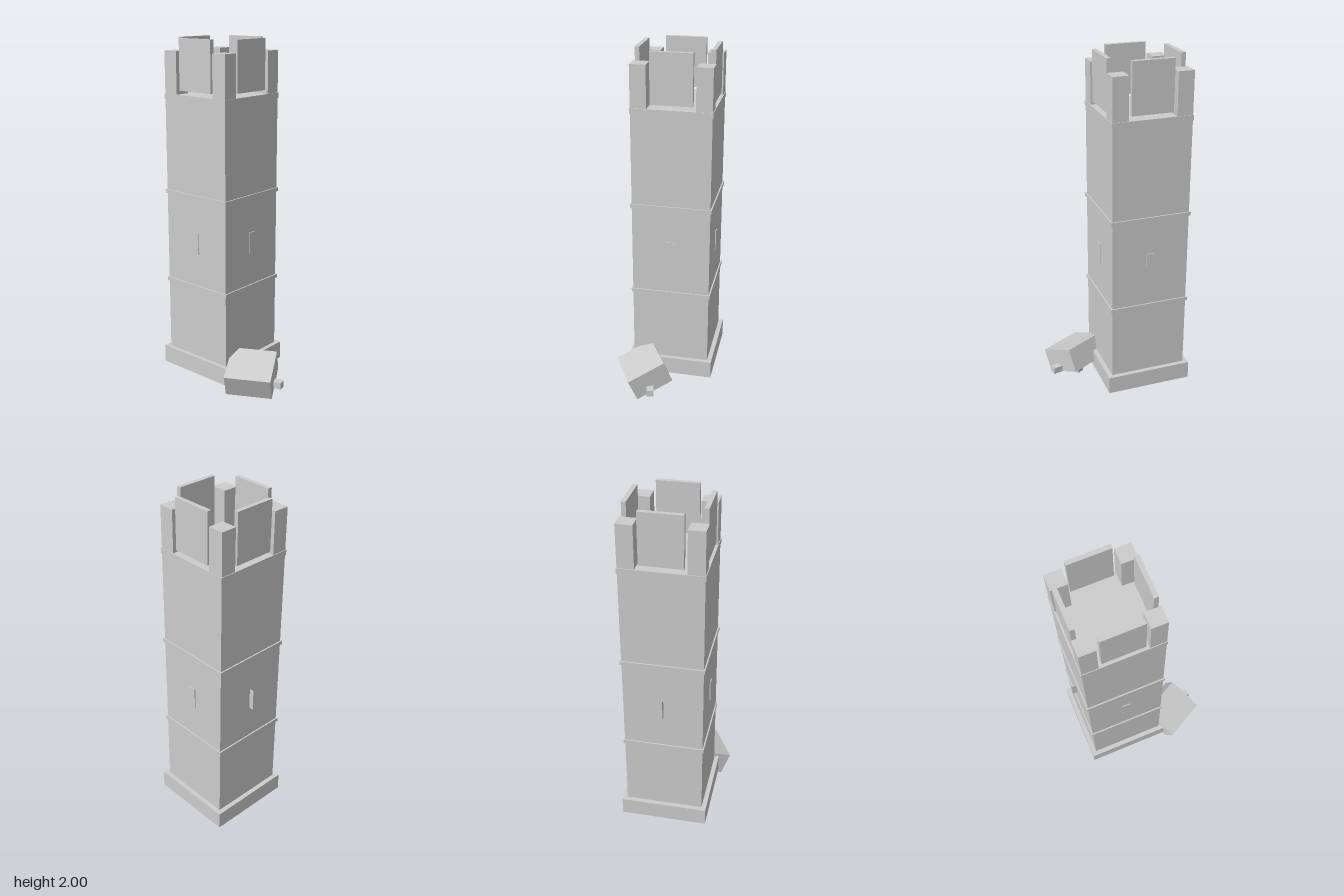
import * as THREE from 'three';

export function createModel() {
  const model = new THREE.Group();
  const stone = new THREE.MeshStandardMaterial({ color: 0xcccccc });
  stone.name = 'stone';

  const box = (name, parent, w, h, d, x, y, z) => {
    const mesh = new THREE.Mesh(new THREE.BoxGeometry(w, h, d), stone);
    mesh.name = name;
    mesh.position.set(x, y, z);
    parent.add(mesh);
    return mesh;
  };

  // Tower, built about its own axis
  const tower = new THREE.Group();
  tower.name = 'tower';
  tower.position.set(-0.1375, 0, -0.035);
  model.add(tower);

  box('plinth', tower, 0.504, 0.105, 0.504, 0, 0.0975, 0);
  box('shaft', tower, 0.45, 1.545, 0.45, 0, 0.9175, 0);
  for (const y of [0.586, 1.126]) box('stringCourse', tower, 0.466, 0.022, 0.466, 0, y, 0);
  box('parapetBand', tower, 0.458, 0.03, 0.458, 0, 1.677, 0);

  // Corner posts of the parapet
  for (const sx of [-1, 1]) {
    for (const sz of [-1, 1]) box('cornerPost', tower, 0.09, 0.24, 0.09, sx * 0.18, 1.81, sz * 0.18);
  }

  // Merlon slabs, raised slightly above the roof
  for (const s of [-1, 1]) {
    box('merlonSlab', tower, 0.234, 0.285, 0.025, 0, 1.8575, s * 0.207);
    box('merlonSlab', tower, 0.025, 0.285, 0.234, s * 0.207, 1.8575, 0);
  }

  // Window slits: three shallow ones and a projecting fin on one side
  for (const s of [-1, 1]) box('windowSlit', tower, 0.045, 0.125, 0.03, 0, 0.8525, s * 0.215);
  box('windowSlit', tower, 0.03, 0.125, 0.045, 0.215, 0.8525, 0);
  box('windowFin', tower, 0.05, 0.125, 0.005, -0.227, 0.8525, 0);

  // Fallen block leaning against the foot of the tower
  const along = new THREE.Vector3(0.236, 0, -0.128);
  const back = new THREE.Vector3(-0.103, 0.09, -0.19);
  const down = new THREE.Vector3(-0.026, -0.13, -0.049);
  const corner = new THREE.Vector3(0.152, 0.135, 0.283);
  const block = box('fallenBlock', model, along.length(), down.length(), back.length(), 0, 0, 0);
  block.position.copy(corner)
    .addScaledVector(along, 0.5).addScaledVector(back, 0.5).addScaledVector(down, 0.5);
  const xAxis = along.clone().normalize();
  const zAxis = back.clone().negate().normalize();
  const yAxis = new THREE.Vector3().crossVectors(zAxis, xAxis);
  block.quaternion.setFromRotationMatrix(new THREE.Matrix4().makeBasis(xAxis, yAxis, zAxis));

  // Small rubble stones around and under the block: x, z, turn
  const rubble = [[0.345, 0.034, 0.23], [0.22, -0.002, 0.5], [0.18, 0.055, 0.3], [0.23, 0.164, 0.4]];
  for (const [x, z, turn] of rubble) {
    box('rubbleStone', model, x > 0.3 ? 0.06 : 0.04, 0.04, 0.042, x, 0.065, z).rotation.y = turn;
  }

  return model;
}
